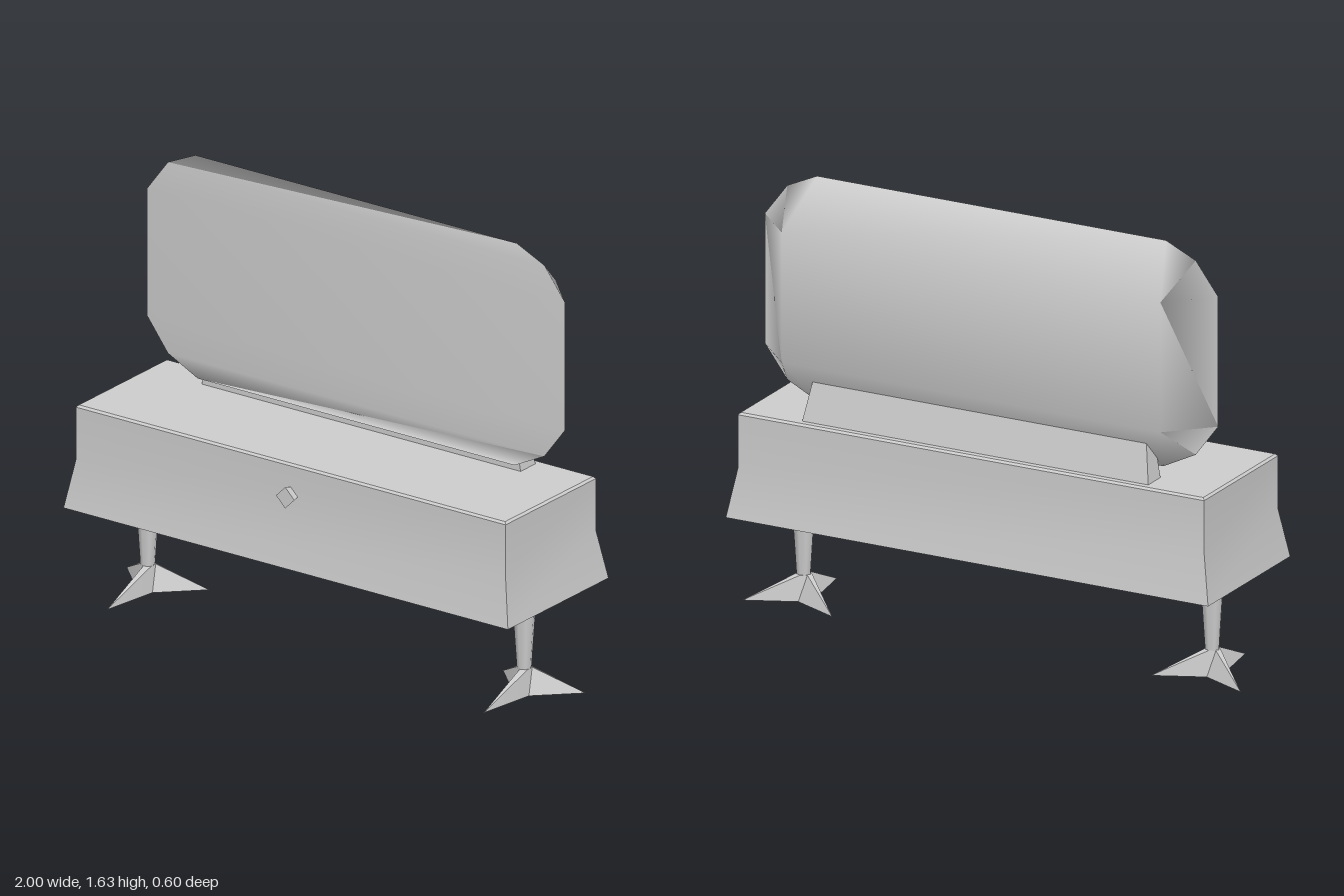
import * as THREE from 'three';
import { toCreasedNormals } from 'three/addons/utils/BufferGeometryUtils.js';

const grey = new THREE.MeshStandardMaterial({ color: 0xcccccc, side: THREE.DoubleSide });
grey.name = 'light grey';

function indexed(points, index) {
  const g = new THREE.BufferGeometry();
  g.setAttribute('position', new THREE.Float32BufferAttribute(points.flat(), 3));
  g.setIndex(index);
  g.computeVertexNormals();
  return g;
}

// Skin stacked rings [y, [[x, z], ...]], bottom to top, with optional end caps
function loft(rings, capBottom, capTop) {
  const n = rings[0][1].length;
  const points = rings.flatMap(([y, ring]) => ring.map(([x, z]) => [x, y, z]));
  const index = [];
  for (let r = 0; r < rings.length - 1; r++) {
    for (let i = 0; i < n; i++) {
      const a = r * n + i, b = r * n + (i + 1) % n;
      index.push(a, b, b + n, a, b + n, a + n);
    }
  }
  const cap = (r, up) => {
    const [y, ring] = rings[r];
    const c = points.length;
    points.push([ring.reduce((s, p) => s + p[0], 0) / n, y, ring.reduce((s, p) => s + p[1], 0) / n]);
    for (let i = 0; i < n; i++) {
      const a = r * n + i, b = r * n + (i + 1) % n;
      index.push(c, up ? a : b, up ? b : a);
    }
  };
  if (capBottom) cap(0, false);
  if (capTop) cap(rings.length - 1, true);
  return toCreasedNormals(indexed(points, index), 0.55);
}

const rect = (hx, z0, z1) => [[hx, z1], [hx, z0], [-hx, z0], [-hx, z1]];

// Flat-fronted panel whose rounded outline tapers back to a smaller rectangle
function mirrorGeometry() {
  const rows = [[0.70, 1.635], [0.82, 1.58], [0.91, 1.46], [0.91, 0.975], [0.82, 0.855], [0.69, 0.79]];
  const points = rows.flatMap(([w, y]) => [[-w, y, -0.12], [w, y, -0.12]]);
  points.push([-0.76, 1.46, -0.27], [0.76, 1.46, -0.27], [-0.76, 0.975, -0.27], [0.76, 0.975, -0.27]);
  const index = [12, 13, 14, 14, 13, 15];
  for (let r = 0; r < rows.length - 1; r++) {
    const a = 2 * r;
    index.push(a, a + 2, a + 1, a + 2, a + 3, a + 1);
  }
  const rim = [0, 2, 4, 6, 8, 10, 11, 9, 7, 5, 3, 1];
  const corners = [12, 14, 15, 13];
  rim.forEach((p, i) => {
    const j = (i + 1) % 12, q = rim[j];
    const c = corners[Math.floor(i / 3)], d = corners[Math.floor(j / 3)];
    index.push(q, p, c);
    if (c !== d) index.push(q, c, d);
  });
  return indexed(points, index);
}

export function createModel() {
  const model = new THREE.Group();
  model.name = 'dressingTable';
  const add = (name, geometry, parent = model) => {
    const mesh = new THREE.Mesh(geometry, grey);
    mesh.name = name;
    parent.add(mesh);
    return mesh;
  };

  // Cabinet: flared skirt, open underneath, small bevel round the top
  add('cabinet', loft([
    [0.37, rect(0.968, -0.3, 0.3)],
    [0.55, rect(0.936, -0.27, 0.27)],
    [0.75, rect(0.936, -0.27, 0.27)],
    [0.758, rect(0.928, -0.262, 0.262)],
  ], false, true));

  // Mirror and the tapered rail that holds it
  add('mirror', mirrorGeometry());
  add('mirrorRail', loft([
    [0.755, rect(0.695, -0.24, -0.15)],
    [0.9, rect(0.67, -0.208, -0.15)],
  ], true, true));

  // Diamond knob, pinched where it passes through the front
  const profile = [[0, 0.235], [0.038, 0.235], [0.03, 0.27], [0.04, 0.303], [0, 0.303]];
  const knob = new THREE.LatheGeometry(profile.map(([r, h]) => new THREE.Vector2(r, h)), 4);
  knob.rotateX(Math.PI / 2);
  add('knob', toCreasedNormals(knob, 0.5)).position.y = 0.64;

  // Two tapered legs, each on a three-toed foot
  const star = [[0.18, -0.12], [0, -0.04], [-0.18, -0.12], [-0.035, 0.02], [0, 0.242], [0.035, 0.02]];
  const ankle = star.map(([x, z]) => {
    const s = 0.028 / Math.hypot(x, z);
    return [x * s, z * s];
  });
  const footGeometry = loft([[0, star], [0.095, ankle]], true, true);
  const legGeometry = new THREE.CylinderGeometry(0.057, 0.026, 0.47, 8);
  for (const side of [1, -1]) {
    const leg = new THREE.Group();
    leg.name = side > 0 ? 'leftLeg' : 'rightLeg';
    leg.position.x = side * 0.82;
    add('legPost', legGeometry, leg).position.y = 0.325;
    add('foot', footGeometry, leg);
    model.add(leg);
  }
  return model;
}
